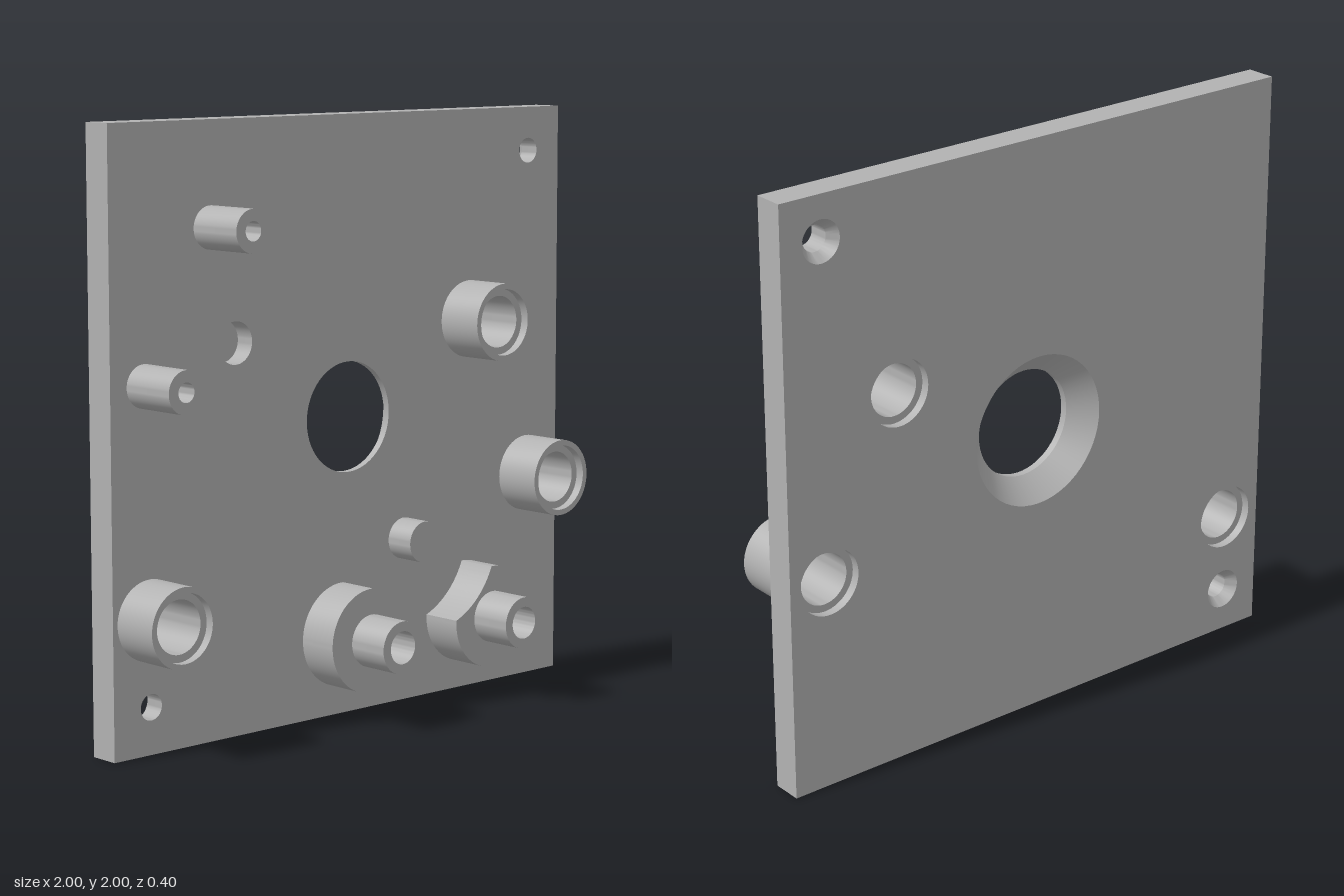
import * as THREE from 'three';
import { mergeGeometries, toCreasedNormals } from 'three/addons/utils/BufferGeometryUtils.js';

const BACK = -0.2, FRONT = -0.095;
const PIN = [0.255, 0.56];

const bushSpots = [[0.565, 1.285], [0.85, 0.72], [-0.85, 0.435]];
const screwSpots = [[0.85, 1.85], [-0.85, 0.155]];
const postSpots = [[-0.59, 1.66], [-0.865, 1.18]];
const camSpots = [[-0.03, 0.27], [0.54, 0.27]];

export function createModel() {
  const group = new THREE.Group();
  const grey = new THREE.MeshStandardMaterial({ color: 0xb2b2b2 });
  grey.name = 'plain grey';

  const add = (name, geometry, x = 0, y = 0) => {
    const mesh = new THREE.Mesh(geometry, grey);
    mesh.name = name;
    mesh.position.set(x, y, 0);
    group.add(mesh);
  };

  // Turned part about the z axis; profile points are [radius, z]
  const turned = (name, profile, [x, y]) => {
    const lathe = new THREE.LatheGeometry(profile.map(p => new THREE.Vector2(...p)), 56);
    lathe.rotateX(Math.PI / 2);
    add(name, toCreasedNormals(lathe, 0.5), x, y);
  };

  // Square face with round holes, each [x, y, radius]
  const face = holes => {
    const s = new THREE.Shape([[-1, 0], [1, 0], [1, 2], [-1, 2]].map(p => new THREE.Vector2(...p)));
    for (const [x, y, r] of holes) {
      s.holes.push(new THREE.Path().absarc(x, y, r, 0, Math.PI * 2, true));
    }
    return new THREE.ShapeGeometry(s, 28);
  };

  // Plate: front face, back face and the four edges
  const blind = [-0.49, 1.285];
  const frontFace = face([
    [0, 1, 0.185], [...blind, 0.07],
    ...bushSpots.map(p => [...p, 0.132]),
    ...screwSpots.map(p => [...p, 0.043]),
  ].map(h => h.flat())).translate(0, 0, FRONT);
  const backFace = face([
    [0, 1, 0.26],
    ...bushSpots.map(([x, y]) => [-x, y, 0.113]),
    ...screwSpots.map(([x, y]) => [-x, y, 0.07]),
  ]).rotateY(Math.PI).translate(0, 0, BACK);
  const rim = new THREE.BoxGeometry(2, 2, FRONT - BACK).translate(0, 1, (FRONT + BACK) / 2);
  rim.setIndex(Array.from(rim.index.array).slice(0, 24));
  rim.clearGroups();
  add('plate', mergeGeometries([frontFace, backFace, rim]));

  // Hole linings, from front to back
  turned('centreHole', [[0.185, FRONT], [0.185, -0.12], [0.26, BACK]], [0, 1]);
  turned('blindHole', [[0.07, FRONT], [0.07, -0.165], [0, -0.165]], blind);
  for (const p of screwSpots) {
    turned('screwHole', [[0.043, FRONT], [0.043, -0.165], [0.07, BACK]], p);
  }

  // Through bushes, counterbored at both ends
  for (const p of bushSpots) {
    turned('bush', [
      [0.132, FRONT], [0.132, 0.075], [0.113, 0.075], [0.113, 0.045],
      [0.088, 0.045], [0.088, -0.17], [0.113, -0.17], [0.113, BACK],
    ], p);
  }

  // Slim posts with pilot holes
  for (const p of postSpots) {
    turned('post', [[0.07, FRONT], [0.07, 0.11], [0.032, 0.11], [0.032, -0.06], [0, -0.06]], p);
  }

  // Short solid pin
  turned('pin', [[0.07, FRONT], [0.07, 0.01], [0, 0.01]], PIN);

  // Round pads with a bite cut concentric to the pin, each carrying a hollow boss
  const R = 0.175, BITE = 0.302;
  for (const [x, y] of camSpots) {
    const dx = PIN[0] - x, dy = PIN[1] - y, d = Math.hypot(dx, dy);
    const toPin = Math.atan2(dy, dx);
    const a = Math.acos((R * R + d * d - BITE * BITE) / (2 * R * d));
    const b = Math.acos((BITE * BITE + d * d - R * R) / (2 * BITE * d));
    const s = new THREE.Shape();
    s.absarc(0, 0, R, toPin + a, toPin - a + Math.PI * 2, false);
    s.absarc(dx, dy, BITE, toPin + Math.PI + b, toPin + Math.PI - b, true);
    s.holes.push(new THREE.Path().absarc(0, 0, 0.07, 0, Math.PI * 2, true));
    const pad = new THREE.ExtrudeGeometry(s, { depth: 0.05 - FRONT, bevelEnabled: false, curveSegments: 40 });
    pad.translate(0, 0, FRONT);
    add('pad', toCreasedNormals(pad, 0.5), x, y);
    turned('boss', [[0.088, 0.04], [0.088, 0.2], [0.055, 0.2], [0.055, 0.02], [0, 0.02]], [x, y]);
  }

  return group;
}
